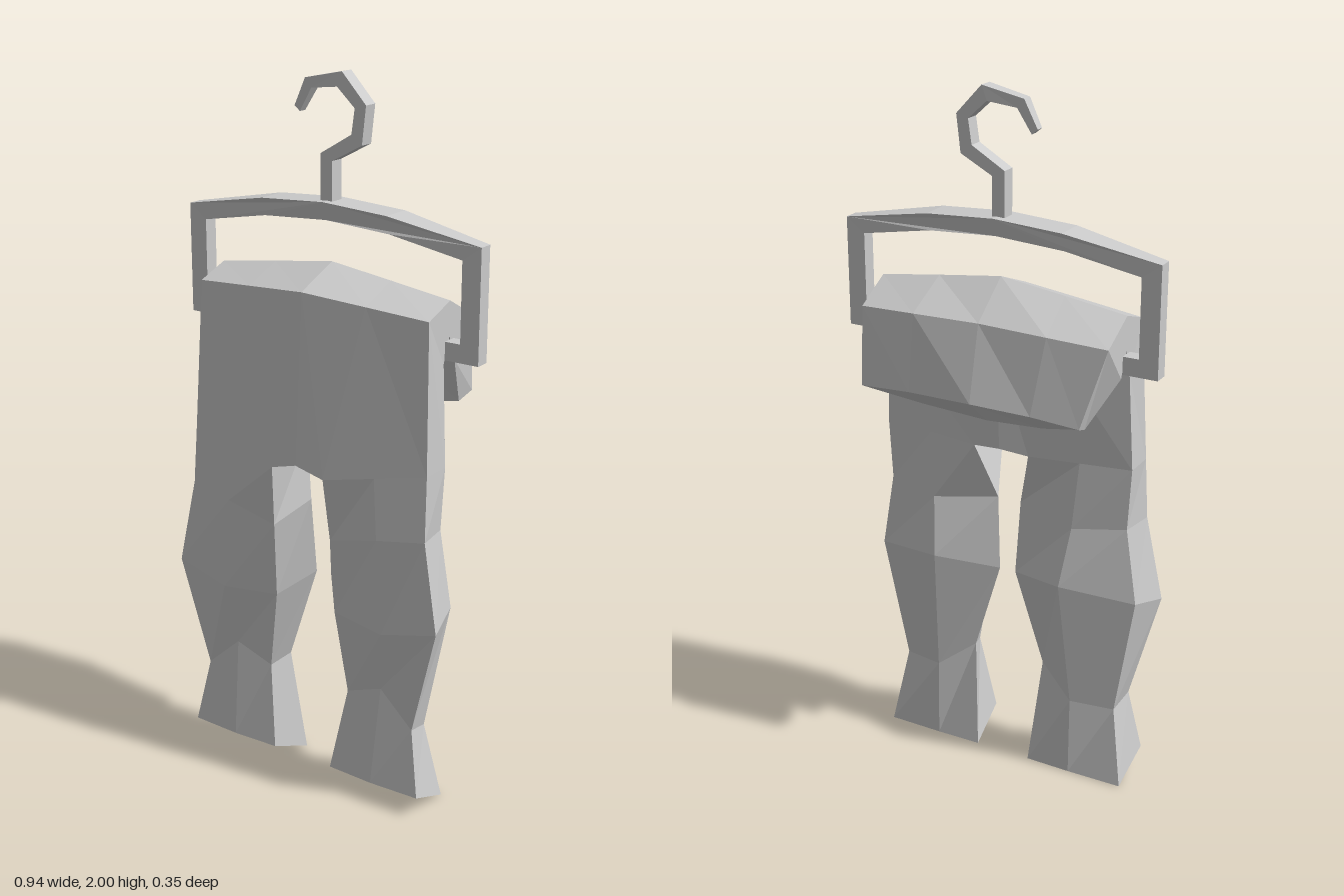
import * as THREE from 'three';

const material = new THREE.MeshStandardMaterial({ color: 0xcccccc, flatShading: true, side: THREE.DoubleSide });

function addMesh(parent, name, geometry) {
  const mesh = new THREE.Mesh(geometry, material);
  mesh.name = name;
  parent.add(mesh);
  return mesh;
}

// Skin a series of closed rings; optional polygon caps given as point lists
function loft(rings, caps = []) {
  const pos = [];
  const tri = (a, b, c) => pos.push(...a, ...b, ...c);
  for (let r = 0; r < rings.length - 1; r++) {
    const n = rings[r].length;
    for (let i = 0; i < n; i++) {
      const j = (i + 1) % n;
      tri(rings[r][i], rings[r + 1][i], rings[r + 1][j]);
      tri(rings[r][i], rings[r + 1][j], rings[r][j]);
    }
  }
  for (const cap of caps) {
    for (let i = 1; i < cap.length - 1; i++) tri(cap[0], cap[i], cap[i + 1]);
  }
  const g = new THREE.BufferGeometry();
  g.setAttribute('position', new THREE.Float32BufferAttribute(pos, 3));
  g.computeVertexNormals();
  return g;
}

// Extrude a flat outline about z = 0, with half depth given by a rule of x and y
function plate(outline, hole, halfDepth) {
  const toPoints = list => list.map(([x, y]) => new THREE.Vector2(x, y));
  const shape = new THREE.Shape(toPoints(outline));
  if (hole) shape.holes.push(new THREE.Path(toPoints(hole)));
  const g = new THREE.ExtrudeGeometry(shape, { depth: 1, bevelEnabled: false });
  const p = g.attributes.position;
  for (let i = 0; i < p.count; i++) {
    p.setZ(i, (p.getZ(i) > 0.5 ? 1 : -1) * halfDepth(p.getX(i), p.getY(i)));
  }
  g.computeVertexNormals();
  return g;
}

// Torso ring: side, mid and centre points of the outer and inner layers, mirrored in x
function torsoRing(outer, inner, skew = 1) {
  const flip = ([x, y, z]) => [-x * skew, y, z];
  const [os, om, oc] = outer, [is, im, ic] = inner;
  return [os, om, oc, flip(om), flip(os), flip(is), flip(im), ic, im, is];
}

export function createModel() {
  const model = new THREE.Group();
  model.name = 'trousersOnHanger';

  // Hanger: arched frame, thicker across the top
  const hanger = new THREE.Group();
  hanger.name = 'hanger';
  model.add(hanger);
  addMesh(hanger, 'hangerFrame', plate(
    [[-0.47, 1.29], [0.47, 1.29], [0.47, 1.6], [0.2, 1.65], [0, 1.662], [-0.2, 1.65], [-0.47, 1.6]],
    [[-0.415, 1.34], [-0.415, 1.56], [-0.2, 1.6], [0, 1.612], [0.2, 1.6], [0.415, 1.56], [0.415, 1.34]],
    (x, y) => (Math.abs(x) > 0.3 ? 0.021 : y > 1.63 ? 0.044 : 0.03)
  ));

  // Hook tapering to its tip
  addMesh(hanger, 'hook', plate(
    [[0.015, 1.65], [0.015, 1.768], [0.108, 1.817], [0.12, 1.92], [0.045, 2], [-0.075, 1.975],
      [-0.112, 1.9], [-0.095, 1.886], [-0.055, 1.95], [0.03, 1.96], [0.085, 1.91], [0.075, 1.842],
      [-0.022, 1.785], [-0.022, 1.65]],
    null,
    x => (x < -0.08 ? 0.012 : x < -0.04 ? 0.016 : 0.021)
  ));

  // Hips and waist, folded over the lower bar
  const trousers = new THREE.Group();
  trousers.name = 'trousers';
  model.add(trousers);
  const torso = [
    torsoRing([[0.385, 1, 0.12], [0.085, 0.94, 0.165], [0, 0.965, 0.172]],
      [[0.385, 1, 0.03], [0.085, 0.99, 0], [0, 1, -0.012]]),
    torsoRing([[0.37, 1.41, 0.1], [0.19, 1.425, 0.12], [0, 1.44, 0.14]],
      [[0.37, 1.28, 0.025], [0.19, 1.275, 0], [0, 1.275, -0.018]]),
    torsoRing([[0.37, 1.445, 0], [0.19, 1.47, 0], [0, 1.495, 0]],
      [[0.37, 1.35, 0], [0.19, 1.35, -0.01], [0, 1.35, -0.015]]),
    torsoRing([[0.37, 1.385, -0.11], [0.2, 1.395, -0.125], [0, 1.4, -0.125]],
      [[0.37, 1.28, -0.028], [0.2, 1.28, -0.025], [0, 1.28, -0.025]]),
    torsoRing([[0.36, 1.165, -0.14], [0.2, 1.18, -0.155], [0, 1.19, -0.175]],
      [[0.35, 1.145, -0.09], [0.2, 1.12, -0.08], [0, 1.11, -0.08]], 0.85)
  ];
  const base = torso[0], hem = torso[torso.length - 1];
  const crotch = [[base[1], base[2], base[7], base[8]], [base[2], base[3], base[6], base[7]]];
  const waist = [0, 1, 2, 3].map(i => [hem[i], hem[i + 1], hem[8 - i], hem[9 - i]]);
  addMesh(trousers, 'hipsAndWaist', loft(torso, [...crotch, ...waist]));

  // Leg rings: front outer, mid, inner, then back inner, mid, outer
  const leg = [
    [[0.385, 1, 0.12], [0.235, 0.97, 0.1425], [0.085, 0.94, 0.165],
      [0.085, 0.99, 0], [0.235, 0.995, 0.015], [0.385, 1, 0.03]],
    [[0.39, 0.82, 0.132], [0.25, 0.8, 0.152], [0.095, 0.76, 0.145],
      [0.036, 0.82, 0.05], [0.22, 0.8, 0.002], [0.375, 0.82, 0.03]],
    [[0.438, 0.57, 0.145], [0.27, 0.53, 0.155], [0.1, 0.54, 0.13],
      [0.025, 0.6, 0.04], [0.2, 0.63, -0.035], [0.41, 0.6, 0.025]],
    [[0.355, 0.25, 0.125], [0.25, 0.345, 0.122], [0.135, 0.3, 0.115],
      [0.112, 0.32, 0.05], [0.22, 0.24, 0.012], [0.345, 0.23, 0.045]],
    [[0.39, 0.06, 0.15], [0.24, 0.06, 0.156], [0.098, 0.06, 0.15],
      [0.085, 0, 0.01], [0.22, 0, 0.008], [0.385, 0, 0.01]]
  ];
  for (const [name, s] of [['leftLeg', 1], ['rightLeg', -1]]) {
    const rings = leg.map(ring => {
      const pts = ring.map(([x, y, z]) => [x * s, y, z]);
      return s > 0 ? pts : pts.reverse();
    });
    addMesh(trousers, name, loft(rings, [rings[rings.length - 1]]));
  }
  return model;
}
